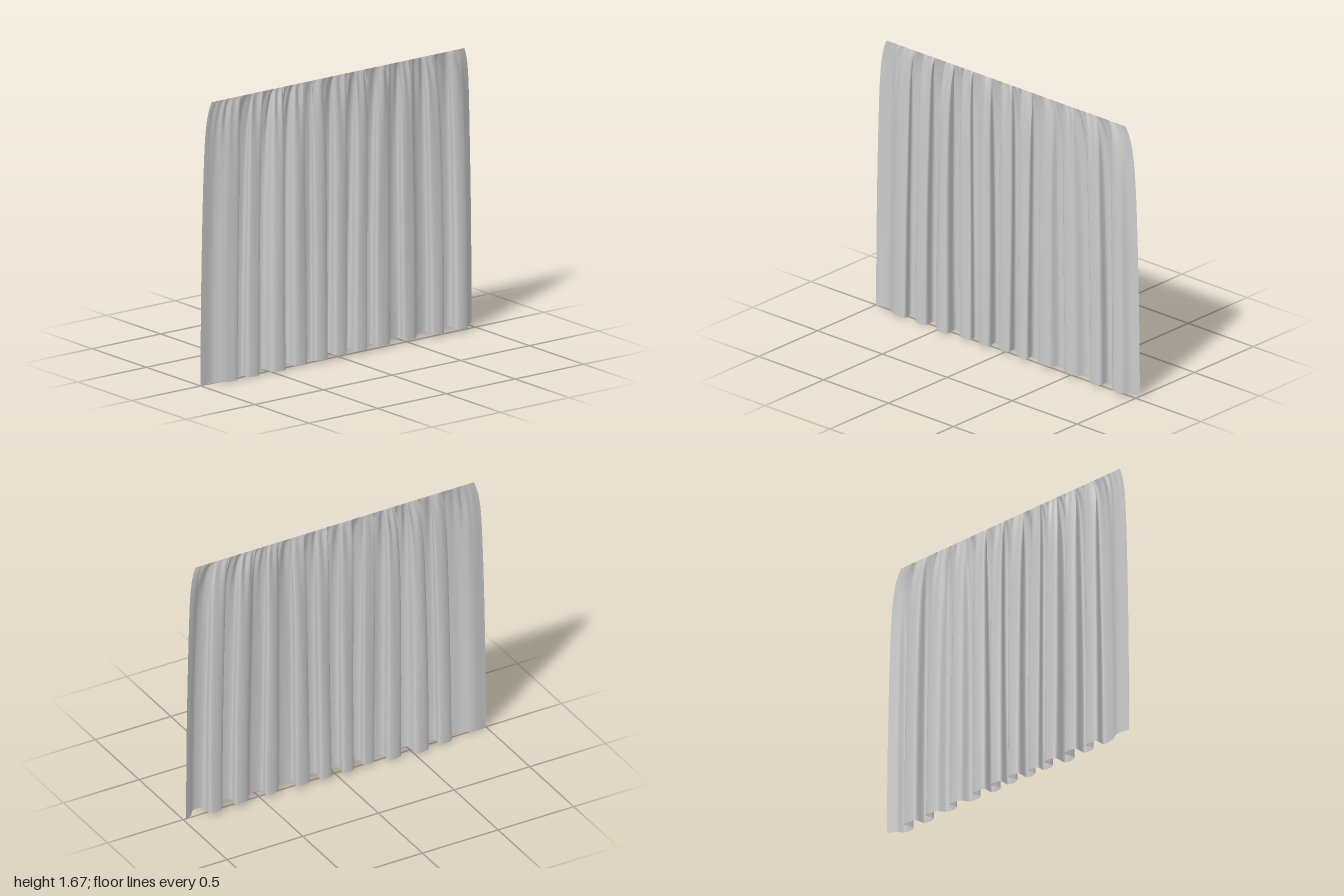
import * as THREE from 'three';

const HEIGHT = 1.67;
const COLS = 640, ROWS = 48;

// crests of the pleats along the hem: [x, depth]
const PLEATS = [
  [-0.79, 0.03], [-0.72, -0.033], [-0.63, 0.028], [-0.56, -0.05], [-0.45, 0.045],
  [-0.385, -0.042], [-0.28, 0.03], [-0.22, -0.022], [-0.14, 0.035], [-0.07, -0.045],
  [0.0, 0.025], [0.085, -0.045], [0.14, 0.032], [0.23, -0.038], [0.31, 0.022],
  [0.44, -0.034], [0.5, 0.022], [0.64, -0.034], [0.7, 0.03], [0.81, -0.042], [0.88, 0.034],
];

// meandering hem line whose pleats lean slightly over each other
function hemCurve() {
  const pts = [new THREE.Vector3(-1, 0, 0), new THREE.Vector3(-0.91, 0, -0.008)];
  PLEATS.forEach(([x, z], i) => {
    const before = i ? x - PLEATS[i - 1][0] : 0.08;
    const after = i < PLEATS.length - 1 ? PLEATS[i + 1][0] - x : 0.07;
    pts.push(new THREE.Vector3(x - Math.min(before * 0.52, 0.05), 0, z * 0.85));
    pts.push(new THREE.Vector3(x + Math.min(after * 0.52, 0.05), 0, z));
  });
  pts.push(new THREE.Vector3(0.95, 0, -0.005), new THREE.Vector3(1, 0, -0.035));
  return new THREE.CatmullRomCurve3(pts, false, 'centripetal');
}

// half width and pleat depth as functions of the drop below the top edge
const halfWidth = s => 0.92 + 0.042 * (1 - Math.exp(-s / 0.09)) + 0.038 * (1 - (1 - s / HEIGHT) ** 2);
const depth = s => 0.76 * (1 - Math.exp(-s / 0.17)) + 0.24 * s / HEIGHT;

function curtainGeometry() {
  const geo = new THREE.PlaneGeometry(2, HEIGHT, COLS, ROWS);
  const pos = geo.attributes.position;
  const curve = hemCurve();
  curve.arcLengthDivisions = 1500;
  const hem = curve.getSpacedPoints(COLS);
  for (let r = 0; r <= ROWS; r++) {
    const t = (r / ROWS) ** 1.8;
    for (let c = 0; c <= COLS; c++) {
      const u = c / COLS, p = hem[c];
      const hemY = 0.018 * THREE.MathUtils.smoothstep(p.x, -0.7, 0.1);
      const s = t * (HEIGHT - hemY);
      const inner = 1 - p.x * p.x;
      // pleats wander sideways and even out towards the top
      const even = 0.2 * Math.exp(-s / 0.25);
      const drift = 0.022 * (1 - t) * inner * Math.sin(7 * p.x + 1.5 * t);
      const x = THREE.MathUtils.lerp(p.x, 2 * u - 1, even) + drift;
      // small gathers below the top edge, fading downwards
      const fade = (1 - Math.exp(-s / 0.04)) * Math.exp(-s / 0.16) * Math.min(1, inner * 4);
      const gather = 0.007 * Math.sin(u * 330 + 3 * Math.sin(u * 23)) + 0.005 * Math.sin(u * 190 + 2);
      const ripple = 0.003 * inner * Math.sin(u * 150 + 2 * t) * Math.sin(Math.PI * t);
      pos.setXYZ(r * (COLS + 1) + c, x * halfWidth(s), HEIGHT - s,
        p.z * depth(s) + gather * fade + ripple);
    }
  }
  geo.computeVertexNormals();
  return geo;
}

export function createModel() {
  const group = new THREE.Group();
  group.name = 'curtain';
  const cloth = new THREE.Mesh(curtainGeometry(),
    new THREE.MeshStandardMaterial({ color: 0xcccccc, side: THREE.DoubleSide }));
  cloth.name = 'pleatedCloth';
  group.add(cloth);
  return group;
}
